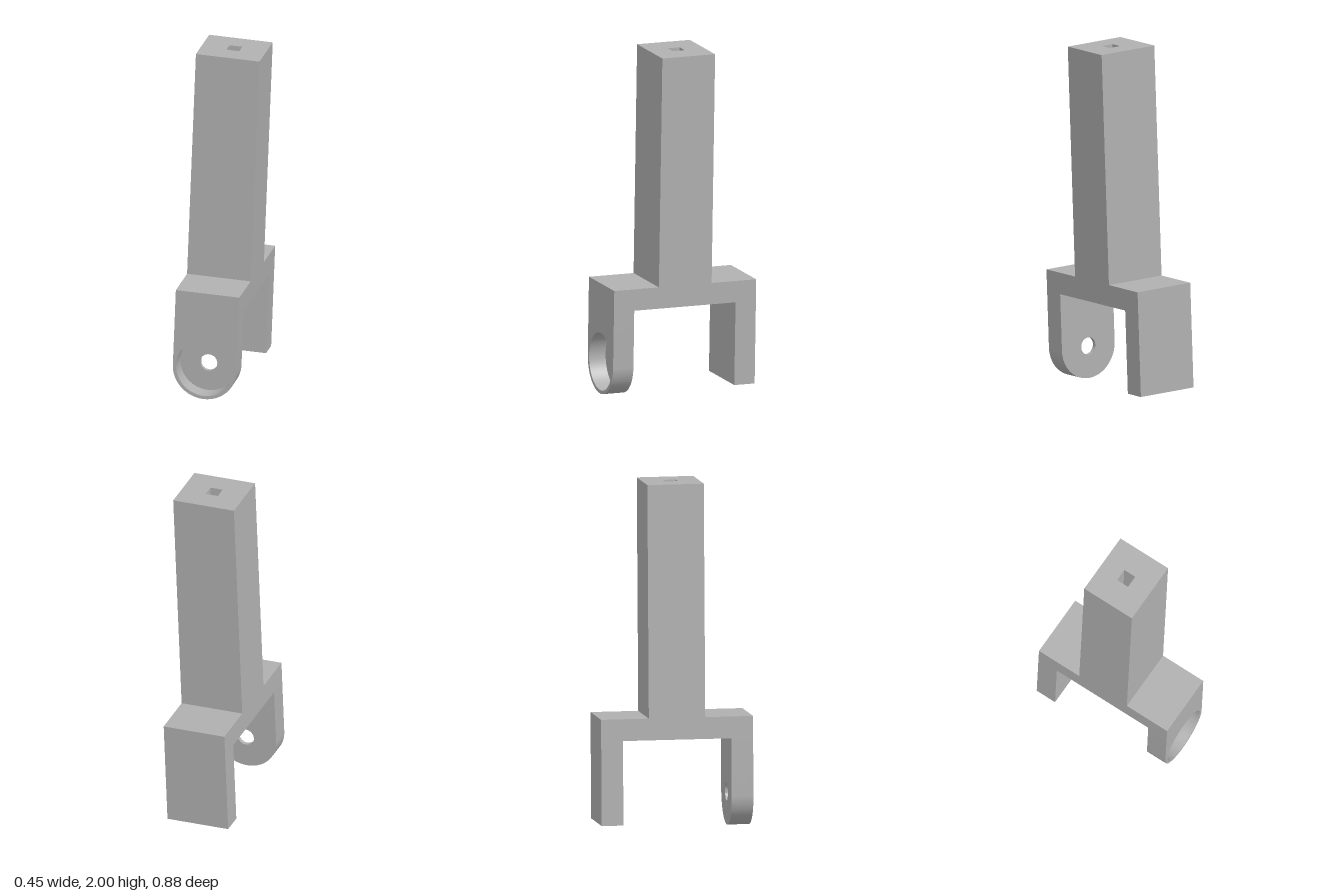
import * as THREE from 'three';
import { toCreasedNormals } from 'three/addons/utils/BufferGeometryUtils.js';

const HALF = 0.1875;      // half width of the bar
const POST = 0.164;       // half depth of the post
const OUT = 0.4415;       // outer face of the fork arms
const INN = 0.315;        // inner face of the fork arms
const TOP = 1.807, SHOULDER = 0.458, SOCKET = 0.374, BRIDGE = 0.332, FOOT = -0.156;

const polygon = (points) => new THREE.Shape(points.map(([x, y]) => new THREE.Vector2(x, y)));
const rect = (w, h) => polygon([[-w, -h], [w, -h], [w, h], [-w, h]]);

function extrude(shape, depth) {
  const geometry = new THREE.ExtrudeGeometry(shape, { depth, bevelEnabled: false, curveSegments: 48 });
  return toCreasedNormals(geometry, 0.5);
}

// Arm outline with a round lower end and a circular hole about the pivot
function roundedArm(holeRadius) {
  const shape = new THREE.Shape();
  shape.moveTo(-HALF, BRIDGE);
  shape.lineTo(-HALF, 0);
  shape.absarc(0, 0, HALF, Math.PI, Math.PI * 2, false);
  shape.lineTo(HALF, BRIDGE);
  shape.closePath();
  const hole = new THREE.Path();
  hole.absarc(0, 0, holeRadius, 0, Math.PI * 2, true);
  shape.holes.push(hole);
  return shape;
}

export function createModel() {
  const grey = new THREE.MeshStandardMaterial({ color: 0xb0b0b0 });
  grey.name = 'grey';
  const root = new THREE.Group();
  root.name = 'forkedBar';

  // Everything is built about the pivot hole, then leaned sideways
  const body = new THREE.Group();
  body.name = 'leaningBody';
  body.position.set(-0.0345, HALF, 0);
  body.rotation.z = -0.0385;
  root.add(body);

  const add = (name, geometry) => {
    const mesh = new THREE.Mesh(geometry, grey);
    mesh.name = name;
    body.add(mesh);
  };

  // Post with a deep square socket in its top
  const postShape = rect(HALF, POST);
  postShape.holes.push(rect(0.0375, 0.0375));
  add('post', extrude(postShape, TOP - SOCKET).rotateX(-Math.PI / 2).translate(0, SOCKET, 0));

  // Bridge and square back arm, notched where the post sits
  const bridge = polygon([
    [-OUT, FOOT], [-INN, FOOT], [-INN, BRIDGE], [OUT, BRIDGE], [OUT, SHOULDER],
    [POST, SHOULDER], [POST, SOCKET], [-POST, SOCKET], [-POST, SHOULDER], [-OUT, SHOULDER],
  ]);
  add('bridgeAndBackArm', extrude(bridge, HALF * 2).rotateY(-Math.PI / 2).translate(HALF, 0, 0));

  // Round front arm: thin inner wall with the pivot hole, outer layer with the wide recess
  const recessFloor = OUT - 0.103;
  add('frontArmInnerWall', extrude(roundedArm(0.05), recessFloor - INN).translate(0, 0, INN));
  add('frontArmRecess', extrude(roundedArm(0.168), OUT - recessFloor).translate(0, 0, recessFloor));

  return root;
}
